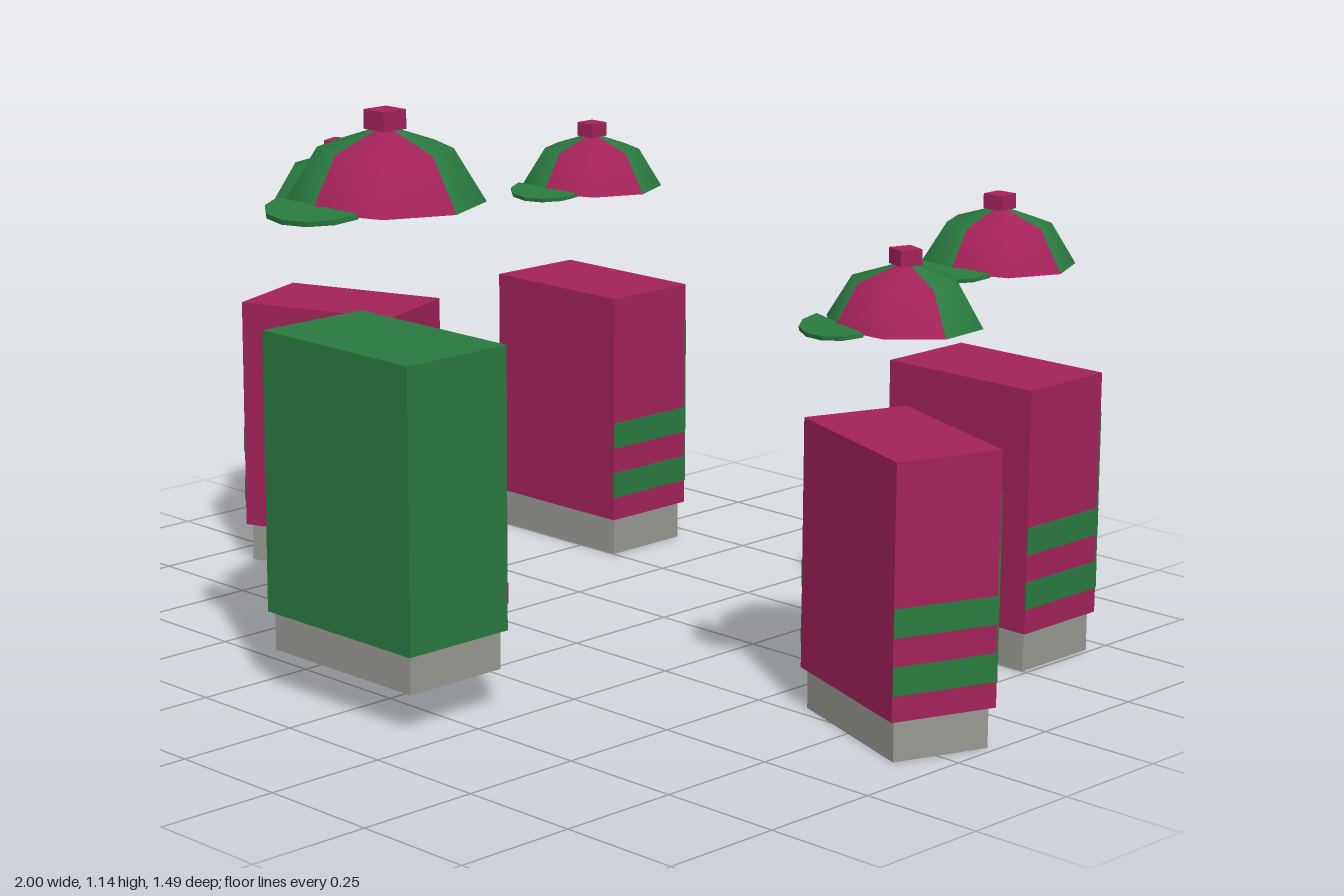
import * as THREE from 'three';

const mat = (color, side = THREE.FrontSide) => new THREE.MeshStandardMaterial({ color, side });
const RED = mat(0xa32259), GREEN = mat(0x2a7a40), GREY = mat(0x999993);
const RED_SHELL = mat(0xa32259, THREE.DoubleSide), GREEN_SHELL = mat(0x2a7a40, THREE.DoubleSide);

// box standing on y0 and reaching y1
function box(parent, name, material, w, y0, y1, d, x = 0, z = 0) {
  const mesh = new THREE.Mesh(new THREE.BoxGeometry(w, y1 - y0, d), material);
  mesh.position.set(x, (y0 + y1) / 2, z);
  mesh.name = name;
  parent.add(mesh);
  return mesh;
}

// eight-sided cap in four alternating quarters, with button and brim
function makeCap() {
  const cap = new THREE.Group();
  cap.name = 'cap';
  const profile = [[0.195, 0], [0.132, 0.1], [0, 0.143]].map(p => new THREE.Vector2(...p));
  for (let i = 0; i < 4; i++) {
    const geometry = new THREE.LatheGeometry(profile, 2, i * Math.PI / 2, Math.PI / 2);
    const quarter = new THREE.Mesh(geometry, i % 2 ? GREEN_SHELL : RED_SHELL);
    quarter.scale.z = 0.93;
    quarter.name = 'capQuarter';
    cap.add(quarter);
  }
  box(cap, 'capButton', RED, 0.056, 0.135, 0.172, 0.056);

  // half-round brim, tilted down at the tip
  const outline = [];
  for (let i = 0; i <= 6; i++) {
    const a = i * Math.PI / 6;
    outline.push(new THREE.Vector2(0.113 * Math.cos(a), 0.088 * Math.sin(a)));
  }
  const geometry = new THREE.ExtrudeGeometry(new THREE.Shape(outline), { depth: 0.01, bevelEnabled: false });
  geometry.rotateX(Math.PI / 2);
  const brim = new THREE.Mesh(geometry, GREEN);
  brim.position.set(0, 0.013, 0.167);
  brim.rotation.x = 0.16;
  brim.name = 'capBrim';
  cap.add(brim);
  return cap;
}

// red block with striped sides and a green back panel
function makePlayer(x, z, turn) {
  const player = new THREE.Group();
  player.name = 'player';
  const w = 0.36, d = 0.218;
  box(player, 'foot', GREY, w - 0.02, 0, 0.08, d - 0.02);
  box(player, 'body', RED, w, 0.08, 0.57, d);
  box(player, 'backPanel', GREEN, w, 0.165, 0.49, 0.004, 0, -d / 2);
  for (const side of [-1, 1])
    for (const y of [0.13, 0.24])
      box(player, 'sideStripe', GREEN, 0.004, y, y + 0.055, d, side * w / 2);
  const cap = makeCap();
  cap.scale.setScalar(0.8);
  cap.position.y = 0.78;
  player.add(cap);
  player.position.set(x, 0, z);
  player.rotation.y = turn;
  return player;
}

// larger, raised green block with two stripes across the back
function makeLeader() {
  const leader = new THREE.Group();
  leader.name = 'leader';
  const w = 0.41, d = 0.248;
  box(leader, 'foot', GREY, w - 0.02, 0.08, 0.16, d - 0.02);
  box(leader, 'body', GREEN, w, 0.157, 0.712, d);
  for (const y of [0.21, 0.61])
    box(leader, 'backStripe', RED, w, y, y + 0.04, 0.004, 0, -d / 2);
  const cap = makeCap();
  cap.position.set(0, 0.972, -0.01);
  leader.add(cap);
  leader.position.z = 0.505;
  return leader;
}

export function createModel() {
  const group = new THREE.Group();
  group.name = 'cappedPlayers';
  group.add(makeLeader());
  // outer pair turned inwards, rear pair facing forwards
  for (const side of [-1, 1]) {
    group.add(makePlayer(side * 0.79, -0.067, -side * 0.353));
    group.add(makePlayer(side * 0.57, -0.6, 0));
  }
  return group;
}
